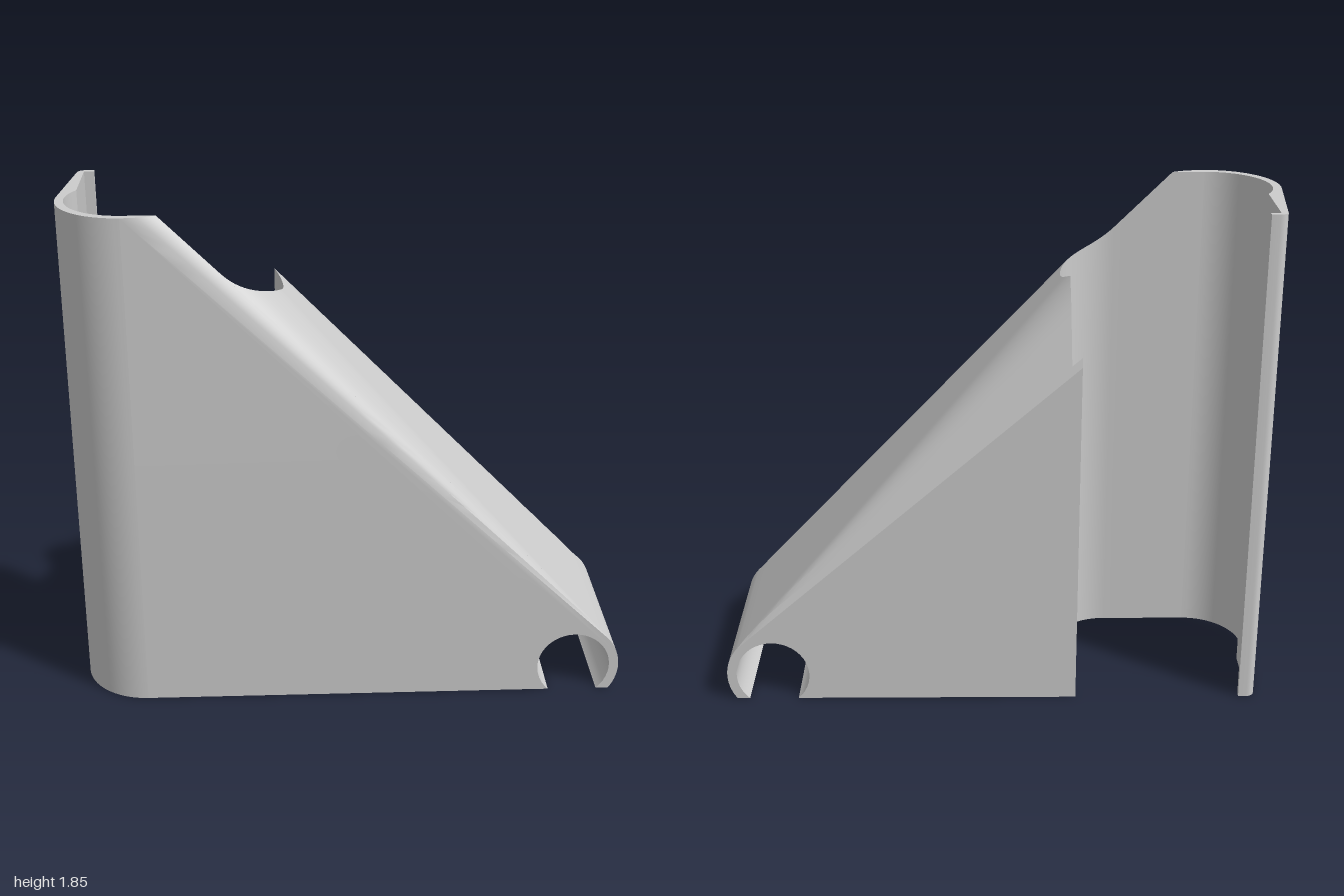
import * as THREE from 'three';
import { toCreasedNormals } from 'three/addons/utils/BufferGeometryUtils.js';

const TOP = 1.85, FRONT = 0.31, BACK = -0.31;
const POST = { x: -0.76, z: 0.07, r: 0.24 };               // rounded outer corner of the clip
const LIP = { x: -0.905, z: BACK };
const PIN = { x: 0.83, y: 0.1, outer: 0.17, inner: 0.135 }; // cross bore at the toe
const TIP = { x: 0.956, y: 0.214 };                        // where the slope meets the toe
const rad = THREE.MathUtils.degToRad;
const lerp = THREE.MathUtils.lerp;

// Points on an arc, both ends included
function arc(cx, cy, r, from, to, n) {
  return Array.from({ length: n + 1 }, (_, i) => {
    const a = lerp(from, to, i / n);
    return [cx + r * Math.cos(a), cy + r * Math.sin(a)];
  });
}

// Height of the slope: lowest of the planes touching both the clip top and the toe edge
function slopeHeight(x, z) {
  let h = TOP;
  for (let i = 0; i <= 60; i++) {
    const a = rad(lerp(-89.7, 89.7, i / 60)), c = Math.cos(a), s = Math.sin(a);
    const near = Math.max(POST.x * c + POST.z * s + POST.r, LIP.x * c + LIP.z * s);
    const far = TIP.x * c + FRONT * Math.abs(s);
    h = Math.min(h, TOP - (TOP - TIP.y) * (x * c + z * s - near) / (far - near));
  }
  return h;
}

// Closed side section of the gusset at depth z, starting at x = left
function section(left, z) {
  const cut = Math.asin(PIN.y / PIN.inner), edge = Math.asin(PIN.y / PIN.outer);
  const tipAngle = Math.atan2(TIP.y - PIN.y, TIP.x - PIN.x);
  const pts = [[left, 0],
    ...arc(PIN.x, PIN.y, PIN.inner, Math.PI + cut, -cut, 32),
    ...arc(PIN.x, PIN.y, PIN.outer, -edge, tipAngle, 12)];
  const d = z - POST.z;
  const rim = Math.max(left, POST.x + Math.sqrt(Math.max(0, POST.r ** 2 - d * d)));
  for (let i = 1; i <= 30; i++) {
    const x = lerp(TIP.x, rim, i / 30);
    pts.push([x, slopeHeight(x, z)]);
  }
  pts.push([left, slopeHeight(left, z)]);
  return pts;
}

// Loft the sections along the channel outline
function gussetGeometry() {
  const path = [[-0.295, BACK], [-0.295, -0.29]];
  for (let i = 0; i < 12; i++) path.push([-0.26, lerp(-0.29, -0.04, i / 12)]);
  path.push(...arc(-0.44, 0.07, 0.21, -Math.asin(0.11 / 0.21), Math.PI / 2, 28));
  for (let i = 1; i <= 10; i++) path.push([lerp(-0.44, POST.x, i / 10), 0.28]);
  for (let i = 1; i <= 5; i++) path.push([POST.x, lerp(0.28, FRONT, i / 5)]);

  const rings = path.map(([x, z]) =>
    section(x, z).map(([px, py]) => new THREE.Vector3(px, py, z)));
  const out = [];
  const tri = (a, b, c) => {
    if (new THREE.Triangle(a, b, c).getArea() > 1e-9) {
      for (const p of [a, b, c]) out.push(p.x, p.y, p.z);
    }
  };
  for (let k = 0; k + 1 < rings.length; k++) {
    const p = rings[k], q = rings[k + 1];
    for (let i = 0; i < p.length; i++) {
      const j = (i + 1) % p.length;
      tri(p[i], p[j], q[j]);
      tri(p[i], q[j], q[i]);
    }
  }
  // Flat back and front faces
  const cap = (ring, flip) => {
    const flat = ring.map((p) => new THREE.Vector2(p.x, p.y));
    for (const [a, b, c] of THREE.ShapeUtils.triangulateShape(flat, [])) {
      if (flip) tri(ring[a], ring[c], ring[b]);
      else tri(ring[a], ring[b], ring[c]);
    }
  };
  cap(rings[0], true);
  cap(rings[rings.length - 1], false);

  const geo = new THREE.BufferGeometry();
  geo.setAttribute('position', new THREE.Float32BufferAttribute(out, 3));
  return toCreasedNormals(geo, 0.35);
}

// Thin curved wall with a hooked lip, extruded upwards
function clipGeometry() {
  const inner = arc(POST.x, POST.z, 0.21, Math.PI / 2, Math.PI + Math.asin(0.11 / 0.21), 24);
  const lip = [[-0.94, -0.29], [-0.905, -0.29], [-0.905, BACK]];
  const hook = arc(-0.935, -0.28, 0.03, -Math.PI / 2, -Math.PI + rad(-5), 6);
  const outer = arc(POST.x, POST.z, POST.r, Math.PI + rad(5), Math.PI / 2, 20);
  const outline = [...inner, ...lip, ...hook, ...outer];
  const shape = new THREE.Shape(outline.map(([x, z]) => new THREE.Vector2(x, -z)));
  const geo = new THREE.ExtrudeGeometry(shape, { depth: TOP, bevelEnabled: false });
  geo.rotateX(-Math.PI / 2);
  return toCreasedNormals(geo, 0.35);
}

export function createModel() {
  const group = new THREE.Group();
  group.name = 'clipBracket';
  const material = new THREE.MeshStandardMaterial({ color: 0xcccccc });
  const add = (name, geometry) => {
    const mesh = new THREE.Mesh(geometry, material);
    mesh.name = name;
    group.add(mesh);
  };
  add('gusset', gussetGeometry());
  add('clipWall', clipGeometry());
  return group;
}
